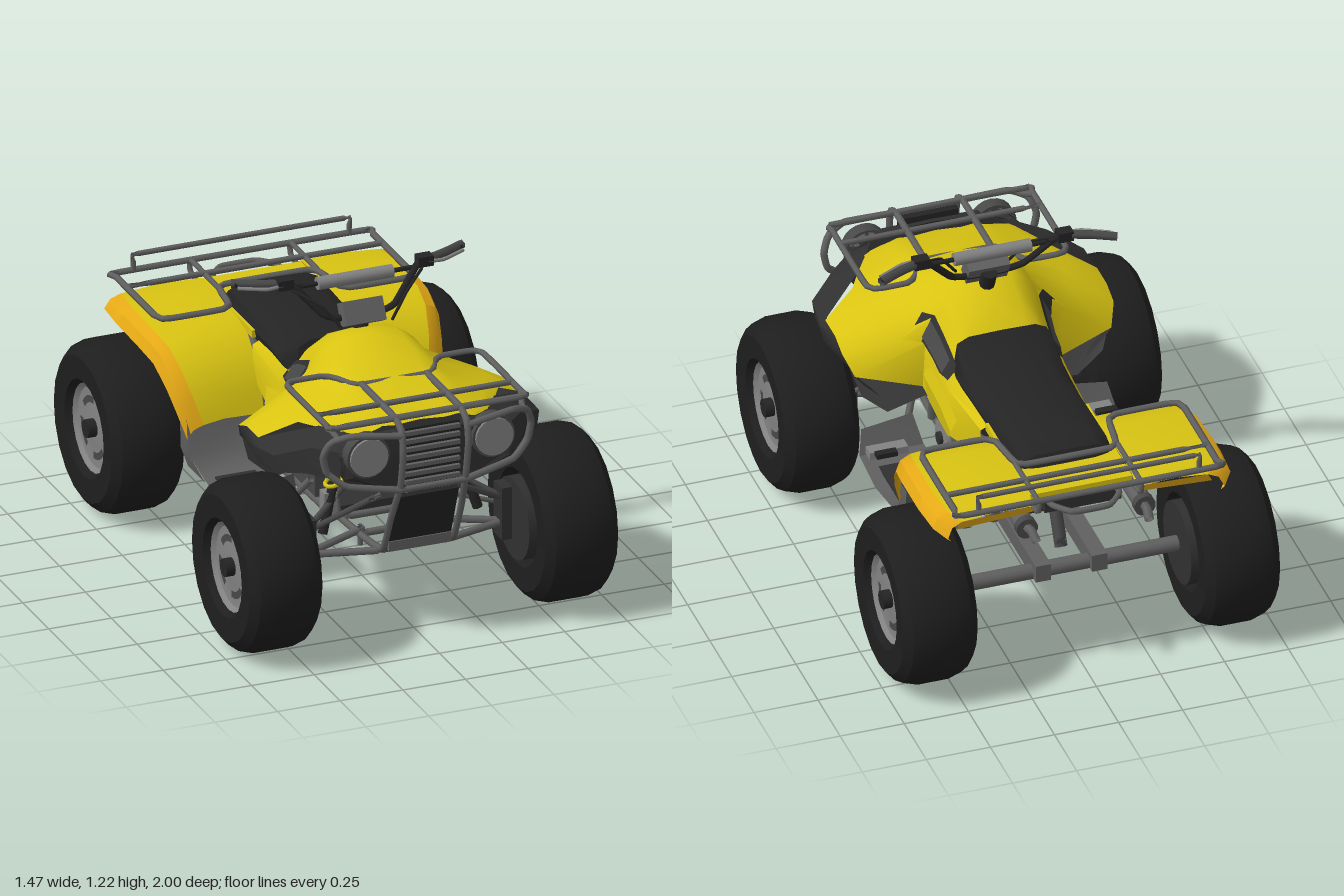
import * as THREE from 'three';
import { toCreasedNormals } from 'three/addons/utils/BufferGeometryUtils.js';

const mat = (name, color) => {
  const m = new THREE.MeshStandardMaterial({ color, side: THREE.DoubleSide });
  m.name = name;
  return m;
};

export function createModel() {
  const yellow = mat('yellow paint', 0xd9c412), amber = mat('amber edge', 0xe5a915);
  const rubber = mat('tyre rubber', 0x1e1e1e), black = mat('black vinyl', 0x242424);
  const dark = mat('dark plastic', 0x303030), charcoal = mat('charcoal metal', 0x484848);
  const steel = mat('rack steel', 0x606060), grey = mat('grey metal', 0x828282);
  const model = new THREE.Group();
  model.name = 'quadBike';

  // ---- helpers ----
  const add = (name, geo, m, parent = model) => {
    const mesh = new THREE.Mesh(geo, m);
    mesh.name = name;
    parent.add(mesh);
    return mesh;
  };
  const flip = (pts, s) => pts.map(([x, y, z]) => [x * s, y, z]);
  const both = fn => [1, -1].forEach(s => fn(s, s > 0 ? 'left' : 'right'));
  // surface through rows of points
  const surface = (name, rows, m, crease = 0.7) => {
    const n = rows[0].length, index = [];
    for (let i = 0; i < rows.length - 1; i++) for (let j = 0; j < n - 1; j++) {
      const a = i * n + j, b = a + n;
      index.push(a, b, a + 1, b, b + 1, a + 1);
    }
    const g = new THREE.BufferGeometry();
    g.setAttribute('position', new THREE.Float32BufferAttribute(rows.flat(2), 3));
    g.setIndex(index);
    return add(name, toCreasedNormals(g, crease), m);
  };
  // half sections [z, [x,y]...] from the centre outwards, mirrored to full width
  const shell = (name, sections, m, crease) => surface(name, sections.map(([z, ...p]) => {
    const half = p.map(([x, y]) => [x, y, z]);
    return [...flip(half, -1).reverse(), ...half.slice(1)];
  }), m, crease);
  const skirt = (name, sections, m) => both((s, side) =>
    surface(side + name, sections.map(([z, ...p]) => p.map(([x, y]) => [x * s, y, z])), m));
  const tube = (name, pts, r, m, closed = false) => {
    const c = new THREE.CatmullRomCurve3(pts.map(p => new THREE.Vector3(...p)), closed, 'catmullrom', 0.2);
    return add(name, new THREE.TubeGeometry(c, pts.length * 5, r, 6, closed), m);
  };
  const pair = (name, pts, r, m) => both((s, side) => tube(side + name, flip(pts, s), r, m));
  const span = pts => [...pts, ...flip(pts, -1).reverse()];
  const box = (name, w, h, d, x, y, z, m, rx = 0) => {
    const b = add(name, new THREE.BoxGeometry(w, h, d), m);
    b.position.set(x, y, z);
    b.rotation.x = rx;
    return b;
  };
  const rod = (name, r, len, axis, x, y, z, m, seg = 16, parent = model) => {
    const g = new THREE.CylinderGeometry(r, r, len, seg);
    if (axis === 'x') g.rotateZ(Math.PI / 2);
    if (axis === 'z') g.rotateX(Math.PI / 2);
    const c = add(name, g, m, parent);
    c.position.set(x, y, z);
    return c;
  };
  const lathe = pts => toCreasedNormals(
    new THREE.LatheGeometry(pts.map(p => new THREE.Vector2(...p)), 20).rotateZ(-Math.PI / 2), 0.5);

  // ---- wheels ----
  const tyreGeo = lathe([[.165, -.1], [.19, -.14], [.28, -.145], [.315, -.115], [.332, -.06],
    [.332, .06], [.315, .115], [.28, .145], [.19, .14], [.165, .1]]);
  const rimGeo = lathe([[.172, .115], [.155, .1], [.1, .095], [.07, .1], [0.001, .1]]);
  for (const z of [.667, -.667]) both((s, side) => {
    const w = new THREE.Group();
    w.name = side + (z > 0 ? 'FrontWheel' : 'RearWheel');
    w.position.set(s * .59, .333, z);
    if (s < 0) w.rotation.y = Math.PI;
    add('tyre', tyreGeo, rubber, w);
    add('rim', rimGeo, grey, w);
    for (let i = 0; i < 4; i++) {
      const slot = add('rimSlot', new THREE.RingGeometry(.095, .122, 6, 1, i * Math.PI / 2, 1).rotateY(Math.PI / 2), charcoal, w);
      slot.position.x = .103;
    }
    rod('hubCap', .035, .05, 'x', .11, 0, 0, black, 12, w);
    rod('brakeDrum', .16, .06, 'x', -.13, 0, 0, dark, 20, w);
    model.add(w);
  });

  // ---- hood, tank and side panels: crown edge, shoulder, flank and rim at each z ----
  shell('hoodAndTank', [
    [.815, [.1, .865], [.18, .86], [.2, .855], [.22, .85]],
    [.77, [.12, .885], [.2, .88], [.27, .87], [.3, .85]],
    [.6, [.12, .925], [.22, .9], [.34, .87], [.4, .84]],
    [.53, [.12, .945], [.22, .9], [.38, .87], [.53, .77]],
    [.42, [.12, .995], [.21, .92], [.37, .86], [.53, .77]],
    [.34, [.11, 1.018], [.205, .92], [.36, .84], [.53, .74]],
    [.28, [.11, 1.01], [.205, .91], [.32, .8], [.5, .67]],
    [.24, [.1, 1], [.195, .91], [.24, .79], [.25, .6]],
    [.16, [.1, .96], [.185, .87], [.23, .77], [.23, .54]],
    [.09, [.1, .9], [.18, .84], [.23, .75], [.23, .53]],
    [0, [.1, .8], [.17, .79], [.23, .73], [.23, .53]],
    [-.3, [.1, .755], [.18, .755], [.21, .74], [.21, .62]],
  ].map(([z, a, b, ...rest]) => [z, [0, a[1] + .008], a,
    [(a[0] + b[0]) / 2 + .011, (a[1] + b[1]) / 2 + .008], b, ...rest]), yellow, 0.8);
  skirt('TankVent', [
    [.29, [.235, .895], [.285, .835]], [.24, [.203, .905], [.247, .79]], [.16, [.196, .87], [.238, .77]],
    [.09, [.192, .84], [.238, .755]], [.03, [.187, .8], [.225, .755]]], dark);
  skirt('VentInset', [
    [.25, [.218, .885], [.25, .815]], [.16, [.209, .855], [.239, .785]], [.07, [.203, .815], [.235, .765]]], charcoal);
  both((s, side) => surface(side + 'KneePanel', [
    flip([[.235, .72, .2], [.235, .69, .02], [.235, .66, -.1]], s),
    flip([[.252, .66, .23], [.252, .64, .04], [.252, .6, -.08]], s),
    flip([[.24, .56, .2], [.24, .545, .08], [.24, .54, -.02]], s)], yellow, 0.2));

  // ---- front fender flares, wheel wells and nose ----
  skirt('FenderFlare', [
    [.86, [.24, .845], [.33, .81], [.34, .7]], [.77, [.29, .855], [.42, .81], [.44, .71]],
    [.68, [.35, .85], [.53, .76], [.52, .69]], [.54, [.52, .775], [.545, .74], [.53, .67]],
    [.42, [.53, .77], [.535, .72], [.5, .65]], [.34, [.53, .74], [.51, .69], [.46, .62]],
    [.28, [.5, .67], [.47, .63], [.4, .56]]], dark);
  shell('innerBody', [
    [.88, [0, .85], [.26, .84], [.33, .8], [.33, .7], [.2, .65], [0, .65]],
    [.7, [0, .86], [.26, .85], [.31, .8], [.29, .68], [.2, .62], [0, .62]],
    [.36, [0, .86], [.24, .85], [.27, .8], [.24, .65], [.2, .56], [0, .56]]], black, 0.3);
  both((s, side) => surface(side + 'MudGuard', [
    flip([[.2, .82, .34], [.2, .52, .3]], s), flip([[.36, .8, .34], [.37, .48, .29]], s),
    flip([[.52, .72, .33], [.47, .57, .29]], s)], charcoal));
  shell('noseFace', [
    [.86, [0, .88], [.22, .87], [.3, .85], [.345, .8], [.32, .7], [.2, .66], [0, .65]],
    [.9, [0, .87], [.21, .865], [.28, .845], [.32, .8], [.3, .72], [.2, .67], [0, .66]],
    [.905, [0, .8], [.01, .8], [.01, .8], [.01, .8], [.01, .79], [.01, .79], [0, .79]]], dark, 0.4);
  both((s, side) => {
    rod(side + 'HeadlightRing', .085, .05, 'z', s * .25, .805, .895, charcoal, 20);
    rod(side + 'Headlight', .075, .06, 'z', s * .25, .805, .9, grey, 20);
  });
  box('grilleBack', .23, .24, .03, 0, .775, .905, black);
  for (let i = 0; i < 7; i++) box('grilleSlat', .22, .016, .02, 0, .68 + i * .033, .925, steel);

  // ---- seat ----
  shell('seat', [[.085, .84, .15], [.07, .905, .19], [.02, .875, .2], [-.05, .84, .2], [-.15, .825, .195],
    [-.3, .838, .19], [-.45, .845, .19], [-.6, .85, .19], [-.645, .83, .18], [-.67, .78, .17]].map(([z, y, w]) =>
    [z, [0, y], [w - .06, y - .003], [w - .015, y - .025], [w, Math.min(y - .04, .78)], [w - .01, .74], [0, .74]]), black, 0.6);

  // ---- rear fenders with amber rims ----
  const arch = [[-.21, .5, .5], [-.24, .6, .53], [-.29, .68, .55], [-.37, .755, .57], [-.48, .78, .585],
    [-.68, .79, .59], [-.82, .79, .58], [-.87, .765, .54]];
  both((s, side) => surface(side + 'RearFender', arch.map(([z, y, w]) =>
    flip([[.2, y, z], [.36, y + .004, z], [w - .06, y - .008, z]], s)), yellow));
  both((s, side) => surface(side + 'FenderRim', arch.map(([z, y, w]) =>
    flip([[w - .06, y - .008, z], [w - .02, y - .025, z - .005], [w, y - .065, z - .015], [w - .015, y - .075, z - .015]], s)), amber));
  both((s, side) => surface(side + 'FenderTail', [
    flip([[.2, .765, -.87], [.48, .757, -.87]], s), flip([[.2, .735, -.86], [.5, .72, -.86]], s)], amber));
  box('tailDeck', .4, .03, .5, 0, .77, -.575, yellow);
  box('tailBox', .3, .05, .1, 0, .735, -.8, dark);

  // ---- handlebars ----
  box('steeringPod', .16, .09, .06, 0, 1.07, .25, steel, -.5);
  rod('steeringColumn', .03, .16, 'y', 0, 1.0, .24, black, 10).rotation.x = -.4;
  tube('handlebar', span([[.45, 1.2, .11], [.3, 1.2, .17], [.25, 1.19, .18], [.14, 1.07, .23], [.06, 1.05, .24]]), .014, black);
  rod('crossPad', .025, .3, 'x', 0, 1.18, .18, grey, 12);
  tube('crossBar', [[-.25, 1.18, .18], [.25, 1.18, .18]], .009, black);
  pair('Grip', [[.3, 1.2, .17], [.38, 1.2, .14], [.46, 1.2, .1]], .018, charcoal);
  pair('BrakeLever', [[.27, 1.2, .19], [.35, 1.195, .19], [.45, 1.195, .14]], .007, grey);
  pair('Cable', [[.26, 1.18, .2], [.17, 1.13, .27], [.1, 1.04, .3]], .006, black);
  both((s, side) => box(side + 'SwitchBox', .06, .04, .045, s * .28, 1.2, .175, black));

  // ---- front rack and bumper ----
  tube('frontRackRim', span([[.37, .93, .89], [.39, .93, .86], [.39, .93, .48], [.36, .93, .44],
    [.24, .93, .44], [.2, .93, .47], [.16, .93, .55], [.12, .93, .565]]), .012, steel, true);
  for (const z of [.76, .89]) tube('frontRackBar', [[-.39, .933, z], [.39, .933, z]], .011, steel);
  pair('BumperUpright', [[.13, .93, .56], [.13, .93, .88], [.13, .9, .95], [.13, .82, .965], [.13, .68, .94],
    [.14, .52, .87], [.14, .36, .79], [.14, .33, .6], [.14, .31, .3]], .014, steel);
  pair('BumperHoop', [[.13, .885, .955], [.32, .905, .93], [.39, .88, .9], [.415, .82, .88],
    [.4, .75, .88], [.33, .695, .91], [.13, .66, .94]], .014, steel);
  pair('RackStay', [[.39, .93, .84], [.37, .9, .9]], .012, steel);
  tube('bumperCross', [[-.13, .66, .94], [.13, .66, .94]], .012, steel);

  // ---- rear rack ----
  tube('rearRackRim', span([[.49, .82, -.92], [.51, .82, -.89], [.51, .82, -.51], [.48, .82, -.47], [.26, .82, -.47],
    [.22, .82, -.5], [.2, .82, -.64], [.17, .82, -.675]]), .013, steel, true);
  tube('rearRackBar', [[-.51, .825, -.78], [.51, .825, -.78]], .011, steel);
  tube('rearRackRail', span([[.43, .82, -.915], [.43, .88, -.915], [.41, .885, -.915]]), .01, steel);
  pair('RackRunner', [[.2, .82, -.66], [.2, .82, -.92], [.2, .77, -.92], [.2, .75, -.8]], .011, steel);
  tube('tailLoop', span([[.14, .75, -.8], [.13, .76, -.88], [.07, .76, -.945]]), .012, steel);

  // ---- footwells ----
  skirt('Footwell', [[.27, [.28, .47], [.48, .44]], [.23, [.25, .35], [.5, .35]], [.05, [.22, .325], [.5, .325]],
    [-.13, [.22, .325], [.48, .325]], [-.2, [.22, .38], [.5, .38]], [-.235, [.22, .52], [.5, .52]],
    [-.28, [.24, .66], [.47, .64]]], steel);
  both((s, side) => {
    surface(side + 'HeelGuard', [
      flip([[.48, .31, -.1], [.48, .31, -.27]], s), flip([[.5, .38, -.2], [.5, .38, -.29]], s),
      flip([[.5, .53, -.235], [.5, .53, -.3]], s)], steel);
    box(side + 'FootMat', .16, .008, .28, s * .37, .336, .06, dark);
    box(side + 'FootPeg', .15, .03, .05, s * .4, .37, .21, grey);
    box(side + 'PedalTip', .08, .02, .03, s * .43, .41, .13, black);
  });
  pair('NerfBar', [[.25, .48, .36], [.3, .38, .29], [.35, .31, .2], [.37, .29, -.12], [.33, .29, -.22], [.25, .33, -.3]], .014, steel);

  // ---- engine and frame ----
  box('engineBlock', .34, .26, .4, 0, .46, .01, charcoal);
  box('upperEngine', .3, .2, .36, 0, .65, .04, dark);
  both((s, side) => {
    rod(side + 'CrankCover', .095, .07, 'x', s * .19, .485, .06, steel, 18);
    rod(side + 'CrankPlate', .07, .02, 'x', s * .23, .485, .06, grey, 18);
    rod(side + 'CrankBolt', .025, .02, 'x', s * .245, .485, .06, dark, 10);
  });
  box('bellyPlate', .3, .03, .6, 0, .32, .03, dark);
  for (const z of [.42, .58, .74]) tube('frameRung', [[-.14, .335, z], [.14, .335, z]], .014, steel);
  box('frontSkid', .25, .27, .02, 0, .48, .83, black, .35);
  box('skidLip', .25, .04, .03, 0, .375, .8, steel);
  pair('FrameTube', [[.15, .31, .3], [.15, .3, -.25], [.15, .42, -.32], [.15, .68, -.42], [.15, .74, -.78]], .018, steel);
  pair('FrontStrut', [[.16, .34, .4], [.17, .6, .35], [.18, .8, .32]], .016, steel);
  pair('UnderHook', [[.11, .33, .5], [.11, .25, .5]], .011, steel);

  // ---- front suspension ----
  for (const z of [.55, .76]) {
    pair('LowerArm', [[.12, .34, z], [.4, .33, .667]], .014, steel);
    pair('UpperArm', [[.16, .56, z], [.4, .42, .667]], .012, charcoal);
  }
  pair('TieRod', [[.08, .5, .62], [.39, .38, .6]], .009, steel);
  pair('ShockBody', [[.19, .76, .55], [.31, .38, .62]], .02, black);
  both((s, side) => {
    for (let i = 0; i < 7; i++) {
      const t = .06 + i * .075;
      const coil = add(side + 'SpringCoil', new THREE.TorusGeometry(.034, .008, 6, 12), yellow);
      coil.position.set(s * (.19 + .12 * t), .76 - .38 * t, .55 + .07 * t);
      coil.rotation.set(Math.PI / 2, s * -.3, 0);
    }
    box(side + 'SteeringKnuckle', .04, .21, .08, s * .39, .375, .667, dark);
    box(side + 'KnuckleArm', .05, .1, .05, s * .27, .48, .58, grey);
  });

  // ---- swing arm, rear axle and exhausts ----
  rod('rearAxle', .03, .92, 'x', 0, .333, -.667, steel, 12);
  both((s, side) => {
    box(side + 'SwingArm', .06, .07, .5, s * .11, .35, -.47, steel);
    rod(side + 'Muffler', .038, .38, 'z', s * .23, .68, -.68, steel, 14);
    rod(side + 'MufflerCap', .042, .03, 'z', s * .23, .68, -.87, charcoal, 14);
  });
  pair('TailPipe', [[.23, .68, -.87], [.225, .69, -.92], [.22, .67, -.96]], .018, steel);
  pair('ExhaustPipe', [[.16, .6, -.15], [.19, .6, -.32], [.23, .68, -.5]], .018, steel);
  tube('rearShock', [[0, .37, -.6], [0, .72, -.42]], .025, charcoal);
  return model;
}
